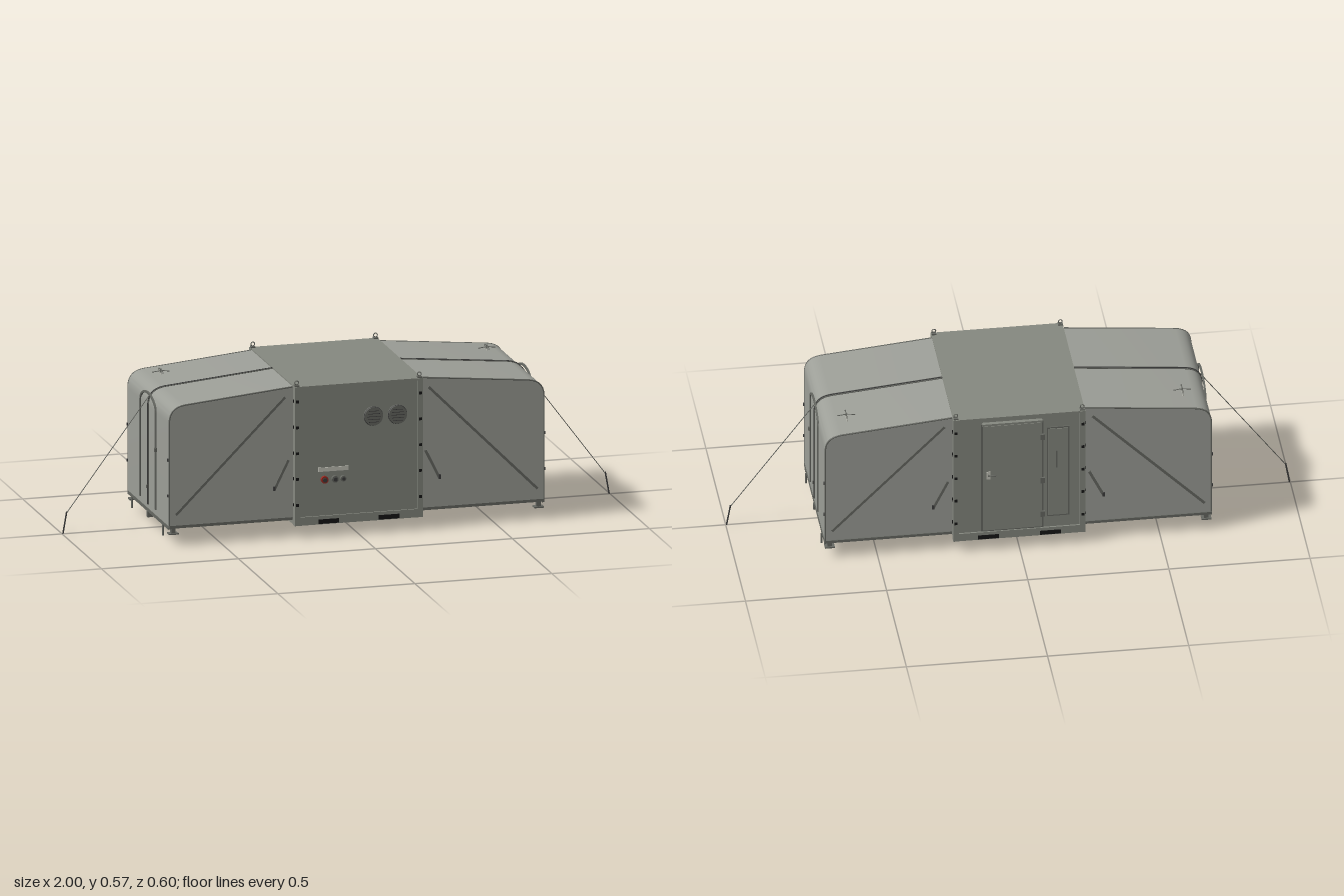
import * as THREE from 'three';
import { toCreasedNormals } from 'three/addons/utils/BufferGeometryUtils.js';

const mat = (color) => new THREE.MeshStandardMaterial({ color, side: THREE.DoubleSide });
const V = (x, y, z) => new THREE.Vector3(x, y, z);

export function createModel() {
  const root = new THREE.Group();
  const fabric = mat(0x9c9e97), shell = mat(0x85887f), trim = mat(0x666862);
  const dark = mat(0x3c3c3c), black = mat(0x151515), red = mat(0x9a2a22), pale = mat(0xc4c4ba);

  const add = (parent, name, geo, m, x = 0, y = 0, z = 0) => {
    const mesh = new THREE.Mesh(geo, m);
    mesh.name = name;
    mesh.position.set(x, y, z);
    parent.add(mesh);
    return mesh;
  };
  const box = (p, name, m, w, h, d, x, y, z) => add(p, name, new THREE.BoxGeometry(w, h, d), m, x, y, z);
  // Round bar between two points
  const bar = (p, name, m, a, b, r, sides = 8) => {
    const d = b.clone().sub(a);
    const mesh = add(p, name, new THREE.CylinderGeometry(r, r, d.length(), sides), m);
    mesh.position.copy(a).addScaledVector(d, 0.5);
    mesh.quaternion.setFromUnitVectors(V(0, 1, 0), d.normalize());
    return mesh;
  };
  // Flat strap lying on a side wall
  const strap = (p, name, m, x0, y0, x1, y1, z, width) => {
    const mesh = box(p, name, m, Math.hypot(x1 - x0, y1 - y0), width, 0.005, (x0 + x1) / 2, (y0 + y1) / 2, z);
    mesh.rotation.z = Math.atan2(y1 - y0, x1 - x0);
  };
  // Disc-like fitting facing the front
  const disc = (p, name, m, r, depth, x, y, z) => {
    add(p, name, new THREE.CylinderGeometry(r, r, depth, 28), m, x, y, z).rotation.x = Math.PI / 2;
  };

  // Side profile of a fabric wing; o pushes the outside outward
  const wingShape = (s, o = 0, bottom = 0.065) => {
    const shape = new THREE.Shape();
    shape.moveTo(s * 0.23, bottom);
    shape.lineTo(s * (0.685 + o), bottom);
    shape.lineTo(s * (0.685 + o), 0.44);
    shape.bezierCurveTo(s * (0.685 + o), 0.485 + o, s * 0.665, 0.504 + o, s * 0.62, 0.508 + o);
    shape.lineTo(s * 0.23, 0.545 + o);
    shape.closePath();
    return shape;
  };
  const slab = (shape, depth) => {
    const geo = new THREE.ExtrudeGeometry(shape, { depth, bevelEnabled: false, curveSegments: 14 });
    geo.translate(0, 0, -depth / 2);
    return toCreasedNormals(geo, 0.5);
  };
  const archShape = () => {
    const a = new THREE.Shape();
    a.moveTo(-0.102, 0.09);
    a.lineTo(-0.102, 0.44);
    a.absellipse(0, 0.44, 0.102, 0.053, Math.PI, 0, true);
    a.lineTo(0.102, 0.09);
    a.lineTo(0.094, 0.09);
    a.lineTo(0.094, 0.44);
    a.absellipse(0, 0.44, 0.094, 0.045, 0, Math.PI, false);
    a.lineTo(-0.094, 0.09);
    return a;
  };

  // Rigid centre section
  const core = new THREE.Group();
  core.name = 'centreSection';
  root.add(core);
  box(core, 'shelter', shell, 0.45, 0.484, 0.566, 0, 0.304, 0);
  box(core, 'roofPanel', shell, 0.466, 0.008, 0.576, 0, 0.545, 0);
  box(core, 'floorPanel', dark, 0.42, 0.01, 0.53, 0, 0.051, 0);
  for (const s of [-1, 1]) {
    box(core, 'baseRailLong', shell, 0.466, 0.03, 0.02, 0, 0.06, s * 0.279);
    box(core, 'baseRailSide', shell, 0.02, 0.018, 0.56, s * 0.222, 0.054, 0);
    for (const t of [-1, 1]) {
      box(core, 'forkPocketLong', black, 0.075, 0.016, 0.004, t * 0.11, 0.055, s * 0.2885);
      box(core, 'forkPocketSide', black, 0.004, 0.014, 0.075, s * 0.2325, 0.053, t * 0.131);
      // Corner posts with latches and a lifting eye
      box(core, 'cornerPost', shell, 0.02, 0.504, 0.025, s * 0.224, 0.297, t * 0.2775);
      for (const y of [0.12, 0.215, 0.308, 0.402, 0.496]) {
        box(core, 'latchSide', black, 0.004, 0.01, 0.01, s * 0.234, y, t * 0.278);
        box(core, 'latchFront', black, 0.01, 0.01, 0.004, s * 0.225, y, t * 0.29);
      }
      box(core, 'eyeBase', trim, 0.016, 0.006, 0.016, s * 0.224, 0.551, t * 0.278);
      add(core, 'liftingEye', new THREE.TorusGeometry(0.007, 0.0018, 6, 16), trim, s * 0.224, 0.562, t * 0.278);
    }
  }

  // Front wall: vents, plate and connectors
  for (const x of [0.052, 0.14]) {
    disc(core, 'ventCover', trim, 0.033, 0.018, x, 0.425, 0.291);
    add(core, 'ventRim', new THREE.TorusGeometry(0.032, 0.003, 8, 32), dark, x, 0.425, 0.294);
    for (let i = -2; i <= 2; i++) box(core, 'ventSlat', dark, 0.05 - Math.abs(i) * 0.007, 0.002, 0.002, x, 0.425 + i * 0.01, 0.3005);
  }
  box(core, 'infoPlate', pale, 0.11, 0.015, 0.004, -0.092, 0.242, 0.284);
  [[-0.125, 0.013, red], [-0.087, 0.012, trim], [-0.057, 0.01, trim]].forEach(([x, r, m]) => {
    disc(core, 'connector', m, r, 0.014, x, 0.206, 0.288);
    disc(core, 'connectorCap', dark, r * 0.6, 0.004, x, 0.206, 0.297);
  });

  // Back wall: door, handle, hinges and tall service panel
  box(core, 'doorFrame', trim, 0.222, 0.445, 0.006, 0.025, 0.299, -0.284);
  box(core, 'door', shell, 0.208, 0.432, 0.01, 0.025, 0.299, -0.286);
  box(core, 'doorHood', shell, 0.212, 0.008, 0.014, 0.025, 0.524, -0.29);
  box(core, 'handlePlate', pale, 0.014, 0.03, 0.004, 0.11, 0.312, -0.292);
  bar(core, 'handleStem', trim, V(0.11, 0.314, -0.29), V(0.11, 0.314, -0.3), 0.003);
  bar(core, 'handleLever', trim, V(0.112, 0.314, -0.299), V(0.082, 0.314, -0.299), 0.0025);
  for (const y of [0.135, 0.275, 0.455]) box(core, 'doorHinge', trim, 0.016, 0.022, 0.008, -0.082, y, -0.29);
  box(core, 'servicePanelFrame', trim, 0.08, 0.37, 0.005, -0.138, 0.305, -0.284);
  box(core, 'servicePanel', shell, 0.068, 0.358, 0.006, -0.138, 0.305, -0.286);
  box(core, 'servicePanelGrip', trim, 0.006, 0.07, 0.006, -0.132, 0.36, -0.29);

  // Fabric wings on both sides
  for (const s of [-1, 1]) {
    const wing = new THREE.Group();
    wing.name = s > 0 ? 'leftWing' : 'rightWing';
    root.add(wing);
    add(wing, 'tent', slab(wingShape(s), 0.522), fabric);
    add(wing, 'centreFlap', slab(wingShape(s, 0.0025, 0.085), 0.012), trim);
    add(wing, 'zip', slab(wingShape(s, 0.004, 0.085), 0.004), dark);
    const arch = slab(archShape(), 0.006);
    arch.rotateY(Math.PI / 2);
    add(wing, 'doorArch', arch, trim, s * 0.686);
    box(wing, 'archBuckle', trim, 0.008, 0.014, 0.009, s * 0.689, 0.308, 0.102);

    // Floor and rails
    box(wing, 'wingFloor', dark, 0.45, 0.006, 0.515, s * 0.46, 0.063, 0);
    for (const z of [-0.09, 0.09]) box(wing, 'floorSeam', black, 0.45, 0.002, 0.004, s * 0.46, 0.0595, z);
    box(wing, 'endRail', trim, 0.01, 0.012, 0.52, s * 0.682, 0.064, 0);

    // Edge piping, straps, rails and feet on both long sides
    for (const t of [-1, 1]) {
      const path = new THREE.CurvePath();
      const z = t * 0.261;
      path.add(new THREE.LineCurve3(V(s * 0.684, 0.065, z), V(s * 0.684, 0.44, z)));
      path.add(new THREE.CubicBezierCurve3(V(s * 0.684, 0.44, z), V(s * 0.684, 0.485, z), V(s * 0.665, 0.503, z), V(s * 0.62, 0.507, z)));
      path.add(new THREE.LineCurve3(V(s * 0.62, 0.507, z), V(s * 0.235, 0.544, z)));
      add(wing, 'edgePiping', new THREE.TubeGeometry(path, 70, 0.0028, 6), trim);
      box(wing, 'sideRail', trim, 0.45, 0.01, 0.006, s * 0.46, 0.067, t * 0.262);
      strap(wing, 'diagonalStrap', trim, s * 0.66, 0.11, s * 0.262, 0.508, t * 0.2615, 0.009);
      strap(wing, 'shortBrace', trim, s * 0.302, 0.175, s * 0.25, 0.28, t * 0.264, 0.009);
      box(wing, 'edgeLatch', dark, 0.008, 0.016, 0.006, s * 0.302, 0.18, t * 0.265);
      box(wing, 'footPlate', trim, 0.035, 0.005, 0.026, s * 0.667, 0.041, t * 0.249);
      box(wing, 'footPost', trim, 0.016, 0.024, 0.014, s * 0.667, 0.053, t * 0.249);
      bar(wing, 'groundPin', trim, V(s * 0.688, 0.062, t * 0.196), V(s * 0.688, 0.022, t * 0.196), 0.0032);
      for (const y of [0.18, 0.31]) box(wing, 'endClip', dark, 0.005, 0.01, 0.006, s * 0.687, y, t * 0.258);
    }
    box(wing, 'middleFoot', trim, 0.02, 0.022, 0.014, s * 0.68, 0.05, 0);
    box(wing, 'zipPull', trim, 0.004, 0.012, 0.005, s * 0.691, 0.15, 0);

    // Guy rope and stake
    bar(wing, 'guyRope', trim, V(s * 0.68, 0.482, 0), V(s * 0.987, 0.07, 0), 0.0015, 6);
    bar(wing, 'stake', dark, V(s * 0.983, 0.08, 0), V(s * 0.997, 0.0005, 0), 0.0028);

    // Small roof fixture with crossed arms
    const fx = s * 0.595, fz = -0.155;
    bar(wing, 'fixtureMast', trim, V(fx, 0.505, fz), V(fx, 0.531, fz), 0.002);
    for (const k of [-1, 1]) {
      bar(wing, 'fixtureArm', trim, V(fx, 0.524, fz), V(fx, 0.528, fz + k * 0.022), 0.0016);
      bar(wing, 'fixtureTip', trim, V(fx, 0.528, fz + k * 0.022), V(fx, 0.521, fz + k * 0.028), 0.0016);
      bar(wing, 'fixtureSideArm', trim, V(fx, 0.524, fz), V(fx + k * 0.032, 0.52, fz), 0.0016);
    }
    for (const z of [fz, fz - 0.025]) add(wing, 'fixtureBulb', new THREE.CylinderGeometry(0.0015, 0.0035, 0.012, 12), pale, fx, 0.514, z);
  }
  return root;
}
